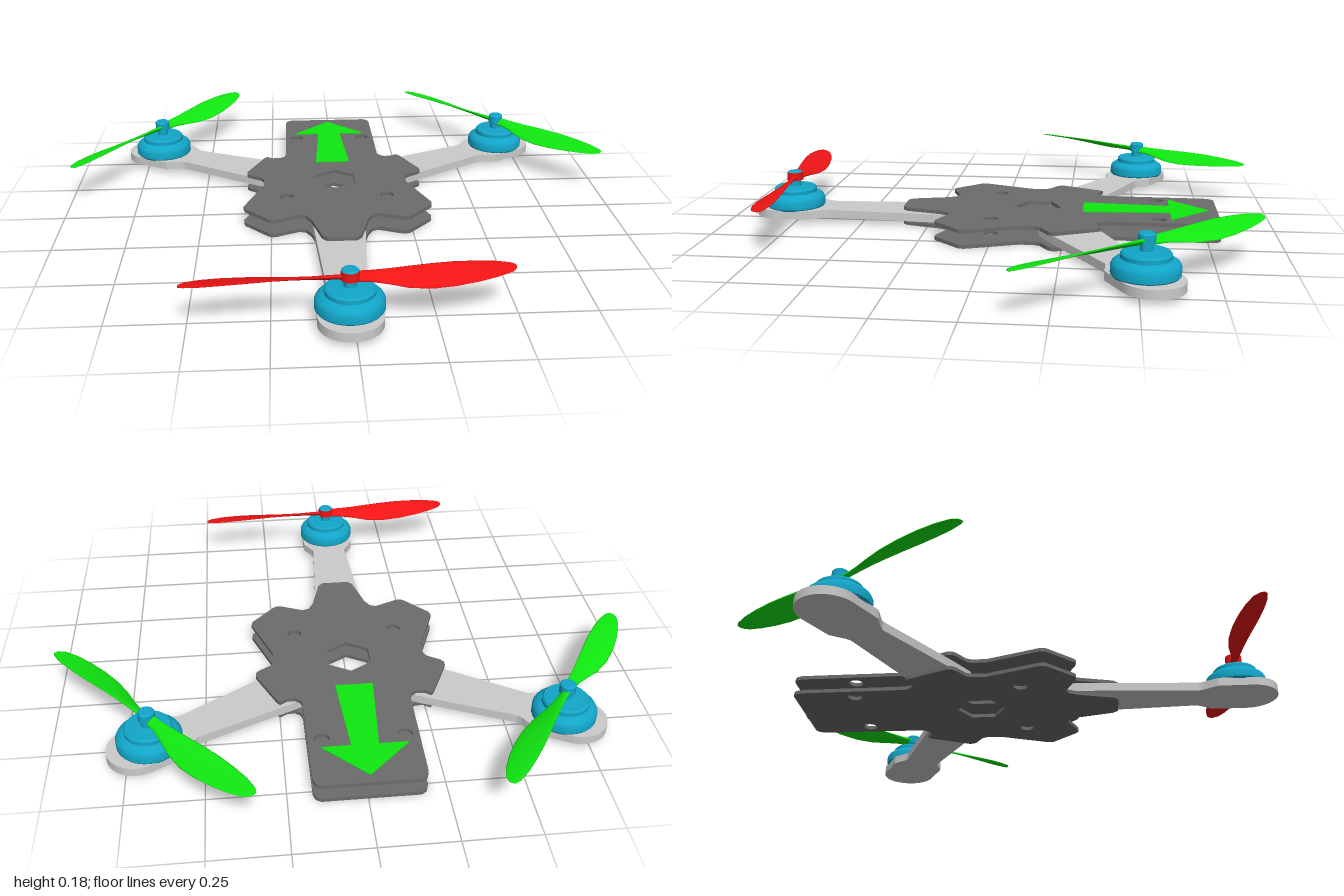
import * as THREE from 'three';
import { toCreasedNormals } from 'three/addons/utils/BufferGeometryUtils.js';

const mat = (color) => new THREE.MeshStandardMaterial({ color });
const MATS = {
  grey: mat(0xcccccc), plate: mat(0x6c6c6c), blue: mat(0x12a5c8), green: mat(0x10e810), red: mat(0xf01414),
};
const CX = -0.01; // the frame's line of symmetry

function part(name, geometry, material) {
  const mesh = new THREE.Mesh(geometry, material);
  mesh.name = name;
  return mesh;
}

// Closed outline from its +x half, given as [x, z] pairs
function mirrored(half) {
  const left = half.slice().reverse().map(([x, z]) => [-x, z]);
  return new THREE.Shape([...half, ...left].map(([x, z]) => new THREE.Vector2(x, z)));
}

// Lay a shape flat (its y becomes z) with the given bottom and top heights
function slab(shape, y0, y1) {
  return new THREE.ExtrudeGeometry(shape, { depth: y1 - y0, bevelEnabled: false, curveSegments: 24 })
    .rotateX(Math.PI / 2).translate(0, y1, 0);
}

// Centre plate with a hexagonal opening and four screw holes
function plateShape() {
  const shape = mirrored([
    [0.155, -0.797], [0.172, -0.787], [0.18, -0.765], [0.183, -0.4], [0.19, -0.38], [0.208, -0.367],
    [0.235, -0.368], [0.258, -0.383], [0.268, -0.372], [0.333, -0.232], [0.332, -0.215], [0.322, -0.203],
    [0.278, -0.175], [0.268, -0.155], [0.268, -0.105], [0.338, 0.08], [0.334, 0.1], [0.25, 0.19],
    [0.235, 0.197], [0.22, 0.194], [0.14, 0.16], [0.118, 0.168], [0.1, 0.2], [0.067, 0.325], [0.05, 0.343],
  ]);
  const hex = [];
  for (let i = 0; i < 6; i++) {
    const a = (i / 6) * Math.PI * 2 + Math.PI / 6;
    hex.push(new THREE.Vector2(Math.cos(a) * 0.085, -0.15 + Math.sin(a) * 0.085));
  }
  shape.holes.push(new THREE.Path(hex));
  for (const s of [-1, 1]) {
    for (const [x, z] of [[0.135, -0.583], [0.183, 0.005]]) {
      shape.holes.push(new THREE.Path().absarc(s * x, z, 0.025, 0, Math.PI * 2));
    }
  }
  return shape;
}

// Tapered arm; the motor sits at the origin and +z points outward
function armGeometry(length) {
  const half = [[0.093, -length], [0.09, -length + 0.1], [0.065, -0.14], [0.07, -0.125], [0.1, -0.075]];
  for (let i = 0; i <= 12; i++) {
    const a = (i / 12) * Math.PI / 2;
    half.push([Math.max(0.1 * Math.cos(a), 0.001), 0.045 + 0.1 * Math.sin(a)]);
  }
  return slab(mirrored(half), 0.018, 0.048);
}

// Motor bell and shaft, turned
function motorGeometry() {
  const profile = [
    [0, 0.045], [0.102, 0.045], [0.107, 0.052], [0.107, 0.078], [0.102, 0.088], [0.09, 0.097], [0.078, 0.101],
    [0.078, 0.114], [0.072, 0.121], [0.03, 0.121], [0.02, 0.123], [0.02, 0.143], [0.027, 0.145],
    [0.027, 0.174], [0.022, 0.179], [0, 0.179],
  ].map(([x, y]) => new THREE.Vector2(x, y));
  return toCreasedNormals(new THREE.LatheGeometry(profile, 40), 0.6);
}

// Twisted blade along +x, lofted from thin lens sections
function bladeGeometry() {
  // radius, -z edge, +z edge, slope, half thickness
  const rows = [
    [0.012, -0.016, 0.016, 0.5, 0.009], [0.06, -0.017, 0.018, 0.5, 0.008], [0.11, -0.021, 0.029, 0.5, 0.006],
    [0.17, -0.027, 0.045, 0.47, 0.005], [0.24, -0.035, 0.054, 0.4, 0.004], [0.31, -0.042, 0.052, 0.33, 0.004],
    [0.38, -0.045, 0.042, 0.26, 0.003], [0.44, -0.044, 0.027, 0.2, 0.003], [0.485, -0.037, 0.009, 0.15, 0.002],
    [0.5, -0.029, -0.008, 0.12, 0.002], [0.502, -0.019, -0.018, 0.12, 0.0005],
  ];
  const N = 16, pos = [], index = [];
  rows.forEach(([r, a, b, slope, t], i) => {
    for (let j = 0; j < N; j++) {
      const w = (j / N) * Math.PI * 2;
      const z = (a + b) / 2 + ((b - a) / 2) * Math.cos(w);
      pos.push(r, -z * slope + t * Math.sin(w), z);
      if (i < rows.length - 1) {
        const p = i * N + j, q = i * N + (j + 1) % N;
        index.push(p, p + N, q, q, p + N, q + N);
      }
    }
  });
  const g = new THREE.BufferGeometry();
  g.setAttribute('position', new THREE.Float32BufferAttribute(pos, 3));
  g.setIndex(index);
  g.computeVertexNormals();
  return g;
}

function propeller(material) {
  const group = new THREE.Group();
  group.name = 'propeller';
  const blade = bladeGeometry();
  for (const turn of [0, Math.PI]) {
    const mesh = part('blade', blade, material);
    mesh.rotation.y = turn;
    group.add(mesh);
  }
  group.position.y = 0.152;
  return group;
}

export function createModel() {
  const model = new THREE.Group();
  model.name = 'tricopter';

  // Two stacked centre plates
  const shape = plateShape();
  for (const [name, y0, y1] of [['bottomPlate', 0, 0.013], ['topPlate', 0.054, 0.067]]) {
    const plate = part(name, slab(shape, y0, y1), MATS.plate);
    plate.position.x = CX;
    model.add(plate);
  }

  // Direction arrow on the top plate
  const arrow = part('directionArrow', slab(mirrored([
    [0.001, -0.765], [0.143, -0.625], [0.045, -0.625], [0.065, -0.315],
  ]), 0.066, 0.07), MATS.green);
  arrow.position.x = CX;
  model.add(arrow);

  // Arms, each with a motor and a propeller
  const arms = [
    { name: 'frontArm', x: -0.013, z: 0.765, out: 0, length: 0.64, spin: 1.5, color: MATS.red },
    { name: 'backRightArm', x: -0.69, z: -0.52, out: -118, length: 0.58, spin: 53, color: MATS.green },
    { name: 'backLeftArm', x: 0.675, z: -0.52, out: 118, length: 0.58, spin: -51.5, color: MATS.green },
  ];
  const motor = motorGeometry();
  for (const a of arms) {
    const group = new THREE.Group();
    group.name = a.name;
    group.position.set(a.x, 0, a.z);
    const beam = part('armBeam', armGeometry(a.length), MATS.grey);
    beam.rotation.y = THREE.MathUtils.degToRad(a.out);
    const prop = propeller(a.color);
    prop.rotation.y = THREE.MathUtils.degToRad(a.spin);
    group.add(beam, part('motor', motor, MATS.blue), prop);
    // Coloured collar around the front hub
    if (a.color === MATS.red) {
      const collar = part('propellerCollar', new THREE.CylinderGeometry(0.029, 0.029, 0.03, 32, 1, true), MATS.red);
      collar.position.y = 0.16;
      group.add(collar);
    }
    model.add(group);
  }
  return model;
}
